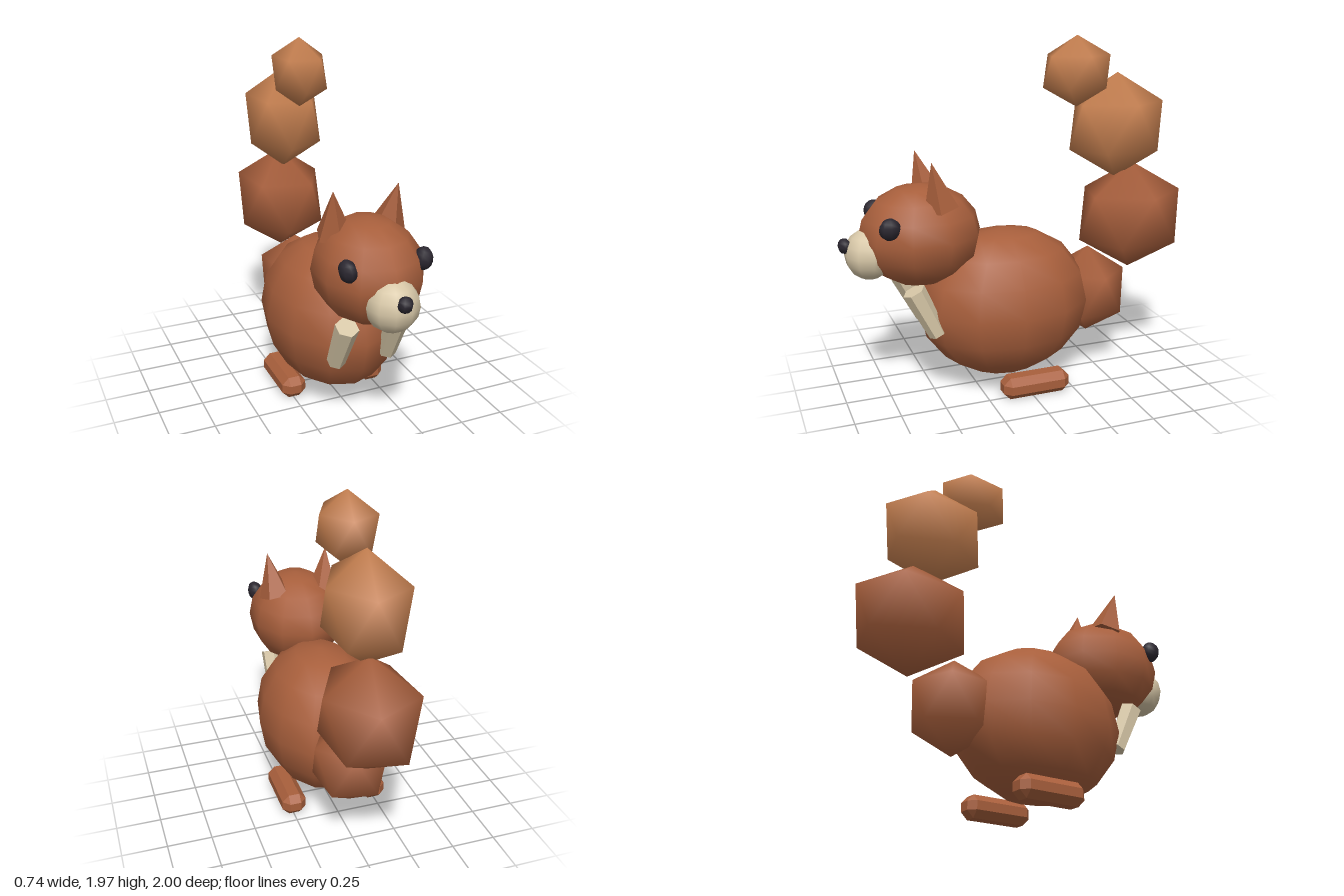
import * as THREE from 'three';
import { mergeVertices } from 'three/addons/utils/BufferGeometryUtils.js';
import { ConvexGeometry } from 'three/addons/geometries/ConvexGeometry.js';

const material = (color, flatShading = false) => new THREE.MeshStandardMaterial({ color, flatShading });
const fur = material(0xa85f3c);
const furFlat = material(0xa85f3c, true);
const paleFur = material(0xc68050);
const cream = material(0xd8c8a8);
const creamFlat = material(0xd8c8a8, true);
const dark = material(0x2b2730);

export function createModel() {
  const model = new THREE.Group();

  const add = (name, geometry, mat, position) => {
    const mesh = new THREE.Mesh(geometry, mat);
    mesh.name = name;
    mesh.position.set(...position);
    model.add(mesh);
    return mesh;
  };

  // Smooth ellipsoid with a chosen number of sides
  const ball = (name, mat, position, radii, sides, rings) => {
    const mesh = add(name, new THREE.SphereGeometry(1, sides, rings), mat, position);
    mesh.scale.set(...radii);
    return mesh;
  };

  // Tapered prism or cone running from one point to another
  const limb = (name, mat, from, to, r0, r1, sides) => {
    const a = new THREE.Vector3(...from), b = new THREE.Vector3(...to);
    const axis = b.clone().sub(a);
    const geometry = new THREE.CylinderGeometry(r1, r0, axis.length(), sides);
    const mesh = add(name, geometry, mat, a.add(b).multiplyScalar(0.5).toArray());
    mesh.quaternion.setFromUnitVectors(new THREE.Vector3(0, 1, 0), axis.normalize());
    return mesh;
  };

  // Body and head
  ball('body', fur, [0, 0.49, 0.075], [0.37, 0.43, 0.5], 12, 8);
  const headShape = new THREE.SphereGeometry(1, 10, 8).rotateY(Math.PI / 2);
  add('head', headShape, fur, [0, 0.93, 0.555]).scale.set(0.284, 0.28, 0.34);

  // Face
  ball('muzzle', cream, [0, 0.85, 0.835], [0.14, 0.14, 0.135], 10, 8);
  ball('nose', dark, [0, 0.905, 0.965], [0.042, 0.042, 0.037], 6, 6);

  // Foot: a box with every edge chamfered
  const size = [0.07, 0.0625, 0.195], cut = 0.038;
  const corners = [];
  for (const sx of [-1, 1]) for (const sy of [-1, 1]) for (const sz of [-1, 1])
    for (let full = 0; full < 3; full++) {
      const [x, y, z] = size.map((s, i) => (i === full ? s : s - cut));
      corners.push(new THREE.Vector3(sx * x, sy * y, sz * z));
    }
  const footShape = new ConvexGeometry(corners);

  // Paired parts
  for (const [side, s] of [['left', 1], ['right', -1]]) {
    const eye = ball(side + 'Eye', dark, [s * 0.205, 1.03, 0.762], [0.045, 0.06, 0.057], 8, 8);
    eye.rotation.z = -s * 0.2;
    limb(side + 'Ear', furFlat, [s * 0.15, 1.105, 0.472], [s * 0.18, 1.355, 0.53], 0.097, 0, 5);
    limb(side + 'Arm', creamFlat, [s * 0.15, 0.4, 0.51], [s * 0.145, 0.66, 0.635], 0.05, 0.064, 6);
    add(side + 'Foot', footShape, furFlat, [s * 0.245, 0.0625, -0.02]);
  }

  // Tail: smooth-shaded icosahedra standing on a point
  let puff = new THREE.IcosahedronGeometry(1, 0);
  puff.deleteAttribute('normal');
  puff.deleteAttribute('uv');
  puff = mergeVertices(puff);
  puff.rotateX(-Math.atan((1 + Math.sqrt(5)) / 2));
  // Turn one upper-ring corner to just beside the rear
  const p = puff.attributes.position;
  let k = 0;
  while (Math.abs(p.getY(k) - 0.447) > 0.01) k++;
  const heading = Math.atan2(p.getX(k), p.getZ(k));
  puff.rotateY(Math.PI - 0.21 - heading);

  [
    [fur, [0, 0.49, -0.445], [0.235, 0.262, 0.245]],
    [fur, [0.005, 0.92, -0.71], [0.285, 0.32, 0.338]],
    [paleFur, [-0.005, 1.455, -0.612], [0.24, 0.3, 0.308]],
    [paleFur, [0.003, 1.77, -0.356], [0.168, 0.196, 0.215]],
  ].forEach(([mat, position, radii], i) => {
    const geometry = puff.clone().scale(...radii);
    geometry.computeVertexNormals();
    add('tailPuff' + (i + 1), geometry, mat, position);
  });

  return model;
}
